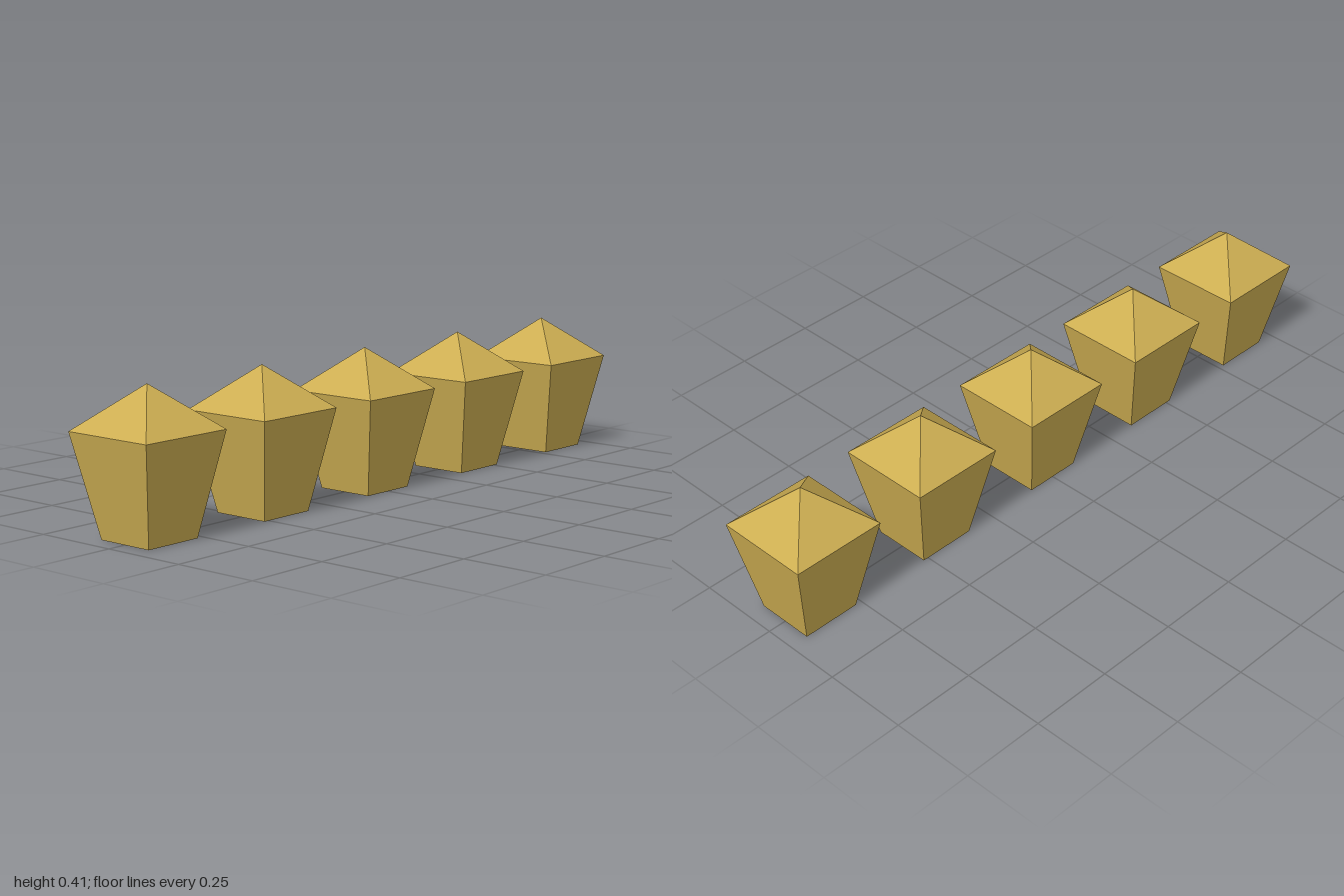
import * as THREE from 'three';

const COUNT = 5;
const SPACING = 0.4286;
const BASE_HALF = 0.0875; // half width at the foot
const EAVE_HALF = 0.1429; // half width at the eaves
const EAVE_Y = 0.286;
const APEX_Y = 0.408;

export function createModel() {
  const brass = new THREE.MeshStandardMaterial({ color: 0xcdae52 });
  brass.name = 'brass';
  brass.flatShading = true;

  // Four-sided solids, turned so their flat sides face the axes
  const corner = (half) => half * Math.SQRT2;
  const bodyGeometry = new THREE.LatheGeometry(
    [
      new THREE.Vector2(0, 0),
      new THREE.Vector2(corner(BASE_HALF), 0),
      new THREE.Vector2(corner(EAVE_HALF), EAVE_Y),
    ],
    4, Math.PI / 4
  );
  const roofHeight = APEX_Y - EAVE_Y;
  const roofGeometry = new THREE.ConeGeometry(corner(EAVE_HALF), roofHeight, 4, 1, true, Math.PI / 4);
  roofGeometry.translate(0, EAVE_Y + roofHeight / 2, 0);

  const model = new THREE.Group();
  model.name = 'lanternRow';

  // Row of identical lanterns along x
  for (let i = 0; i < COUNT; i++) {
    const lantern = new THREE.Group();
    lantern.name = `lantern${i + 1}`;

    const body = new THREE.Mesh(bodyGeometry, brass);
    body.name = 'taperedBody';
    const roof = new THREE.Mesh(roofGeometry, brass);
    roof.name = 'pyramidRoof';

    lantern.add(body, roof);
    lantern.position.x = (i - (COUNT - 1) / 2) * SPACING;
    model.add(lantern);
  }
  return model;
}
